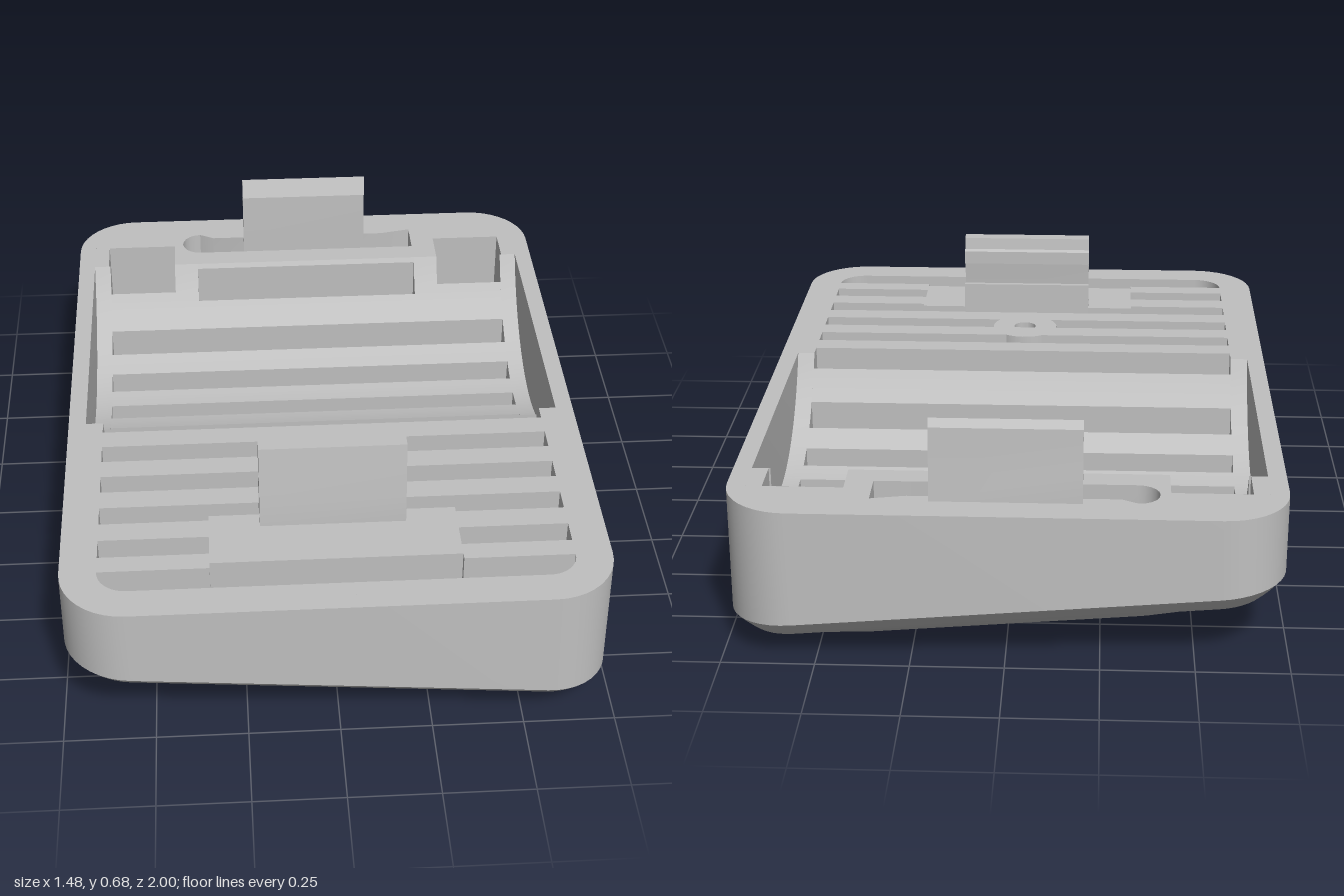
import * as THREE from 'three';
import { toCreasedNormals } from 'three/addons/utils/BufferGeometryUtils.js';

const W = 0.74, L = 1, R = 0.18, TOP = 0.44;

// Distance inward from the rounded outline
function inset(x, z) {
  const qx = Math.abs(x) - (W - R), qz = Math.abs(z) - (L - R);
  return R - Math.hypot(Math.max(qx, 0), Math.max(qz, 0)) - Math.min(Math.max(qx, qz), 0);
}
// Sloping, slightly bowed underside with a rounded rim
function bottom(x, z) {
  const d = Math.max(0, inset(x, z));
  return 0.052 - 0.087 * x + 0.018 * z * z + 0.095 * Math.max(0, 1 - d / 0.16) ** 2;
}
// Upper surface with a cylindrical scoop
function topAt(z) {
  const u = z + 0.285, half = 0.435, depth = 0.26;
  if (Math.abs(u) >= half) return TOP;
  const r = (half * half + depth * depth) / (2 * depth);
  return TOP - depth + r - Math.sqrt(r * r - u * u);
}
// Rounded rectangle, d inside the outline
function outline(d) {
  const pts = [], n = 10, r = R - d;
  [[1, 1], [-1, 1], [-1, -1], [1, -1]].forEach(([sx, sz], k) => {
    for (let i = 0; i <= n; i++) {
      const a = (k + i / n) * Math.PI / 2;
      pts.push([sx * (W - R) + r * Math.cos(a), sz * (L - R) + r * Math.sin(a)]);
    }
  });
  return pts;
}

export function createModel() {
  const group = new THREE.Group();
  const grey = new THREE.MeshStandardMaterial({ color: 0xc0c0c0, side: THREE.DoubleSide });
  grey.name = 'grey plastic';
  const add = (name, geo) => {
    const mesh = new THREE.Mesh(toCreasedNormals(geo, 0.5), grey);
    mesh.name = name;
    group.add(mesh);
  };

  // Block whose top follows the scoop and whose base follows the underside, raised by lift
  function block(name, x0, x1, z0, z1, lift = 0) {
    const nx = Math.max(1, Math.ceil((x1 - x0) / 0.06));
    const nz = Math.max(1, Math.ceil((z1 - z0) / 0.025));
    const geo = new THREE.BoxGeometry(x1 - x0, 1, z1 - z0, nx, 1, nz);
    geo.translate((x0 + x1) / 2, 0, (z0 + z1) / 2);
    const p = geo.attributes.position;
    for (let i = 0; i < p.count; i++) {
      const x = p.getX(i), z = p.getZ(i), b = bottom(x, z);
      const top = Math.max(topAt(z), b + 0.02);
      p.setY(i, p.getY(i) > 0 ? top : Math.min(b + lift, top - 0.01));
    }
    add(name, geo);
  }
  // Mirrored pair of blocks
  function pair(name, x0, x1, z0, z1, lift = 0) {
    block(name + 'Left', x0, x1, z0, z1, lift);
    block(name + 'Right', -x1, -x0, z0, z1, lift);
  }
  // Plan shape extruded upward, given as [x, z] points
  const flip = (pts) => pts.map(([x, z]) => new THREE.Vector2(x, -z));
  function plate(name, pts, holes = [], top = TOP) {
    const shape = new THREE.Shape(flip(pts));
    holes.forEach((h) => shape.holes.push(new THREE.Path(flip(h))));
    const geo = new THREE.ExtrudeGeometry(shape, { depth: top, bevelEnabled: false });
    geo.rotateX(-Math.PI / 2);
    const p = geo.attributes.position;
    for (let i = 0; i < p.count; i++) {
      if (p.getY(i) < 0.01) p.setY(i, bottom(p.getX(i), p.getZ(i)));
    }
    add(name, geo);
  }
  const arc = (cx, cz, r, a0, a1, n = 10) => Array.from({ length: n + 1 }, (_, i) => {
    const a = a0 + (a1 - a0) * i / n;
    return [cx + r * Math.cos(a), cz + r * Math.sin(a)];
  });

  // Outer wall: lofted rings, rounded underneath
  const rings = [[0, 1], [0, 0], [0.017, 0], [0.034, 0], [0.05, 0], [0.05, 1], [0, 1]]
    .map(([d, up]) => outline(d).map(([x, z]) => [x, up ? TOP : bottom(x, z), z]));
  const pos = [];
  for (let k = 0; k < rings.length - 1; k++) {
    const A = rings[k], B = rings[k + 1], n = A.length;
    for (let i = 0; i < n; i++) {
      const j = (i + 1) % n;
      pos.push(...A[i], ...A[j], ...B[i], ...A[j], ...B[j], ...B[i]);
    }
  }
  const wall = new THREE.BufferGeometry();
  wall.setAttribute('position', new THREE.Float32BufferAttribute(pos, 3));
  wall.computeVertexNormals();
  add('outerWall', wall);

  // Side ledges, set higher than the slats underneath
  pair('cornerRail', 0.645, 0.69, -0.835, -0.72, 0.04);
  pair('scoopLedge', 0.64, 0.69, -0.72, 0.15, 0.03);
  pair('sideRail', 0.64, 0.69, 0.15, 0.76, 0.03);

  // Cross slats, the last one open in the middle
  for (let i = 0; i < 9; i++) {
    const z = -0.65 + 0.141 * i;
    block('slat' + (i + 1), -0.69, 0.69, z, z + 0.07);
  }
  pair('shortSlat', 0.34, 0.69, 0.619, 0.689);

  // Upper lip of the scoop around its slot
  pair('scoopLip', 0.355, 0.43, -0.72, -0.65);
  pair('scoopLipOuter', 0.43, 0.64, -0.67, -0.65);
  block('scoopLipEdge', -0.355, 0.355, -0.72, -0.712);

  // Front end with its rounded slot, and the clip pad hollow underneath
  const inner = outline(0.05);
  plate('frontDeck', [...inner.filter((p) => p[1] > 0),
    [-0.69, 0.76], [-0.34, 0.76], [-0.34, 0.82],
    ...arc(-0.56, 0.82, 0.08, Math.PI, Math.PI / 2), ...arc(0.56, 0.82, 0.08, Math.PI / 2, 0),
    [0.34, 0.82], [0.34, 0.76], [0.69, 0.76]]);
  block('frontPad', -0.34, 0.34, 0.6, 0.8, 0.27);

  // Back end with square notches and a keyhole slot
  plate('backDeck',
    [...inner.filter((p) => p[1] < -0.835), [0.688, -0.835],
      [0.43, -0.835], [0.43, -0.72], [-0.43, -0.72], [-0.43, -0.835], [-0.688, -0.835]],
    [[[0.355, -0.9], [0.355, -0.79], ...arc(-0.345, -0.847, 0.057, Math.PI / 2, Math.PI * 1.5),
      [-0.3, -0.88], [0.26, -0.88]]]);

  // Screw boss and small half-round tab
  plate('screwBoss', arc(0, 0.42, 0.1, 0, Math.PI * 1.94, 32), [arc(0, 0.42, 0.034, 0, Math.PI * 1.9, 20)]);
  plate('roundTab', arc(0.4, 0.66, 0.06, 0, Math.PI), [], 0.22);

  // Snap clips: side profiles in [z, y] extruded across x
  function clip(name, pts) {
    const shape = new THREE.Shape(pts.map(([z, y]) => new THREE.Vector2(-z, y)));
    const geo = new THREE.ExtrudeGeometry(shape, { depth: 0.4, bevelEnabled: false });
    geo.translate(0, 0, -0.2);
    geo.rotateY(Math.PI / 2);
    add(name, geo);
  }
  clip('frontClip', [[0.652, 0.35], [0.652, 0.44], [0.645, 0.52], [0.63, 0.64], [0.625, 0.68], [0.583, 0.68],
    [0.578, 0.645], [0.565, 0.64], [0.565, 0.6], [0.585, 0.6], [0.598, 0.44], [0.598, 0.35]]);
  clip('frontClipStop', [[0.563, 0.35], [0.563, 0.535], [0.548, 0.535], [0.545, 0.35]]);
  clip('frontClipBase', [[0.6, 0.35], [0.6, 0.43], [0.54, 0.43], [0.54, 0.35]]);
  clip('backClip', [[-0.912, 0.3], [-0.912, 0.44], [-0.902, 0.52], [-0.895, 0.64], [-0.877, 0.66],
    [-0.852, 0.605], [-0.87, 0.6], [-0.866, 0.44], [-0.866, 0.3]]);
  return group;
}
